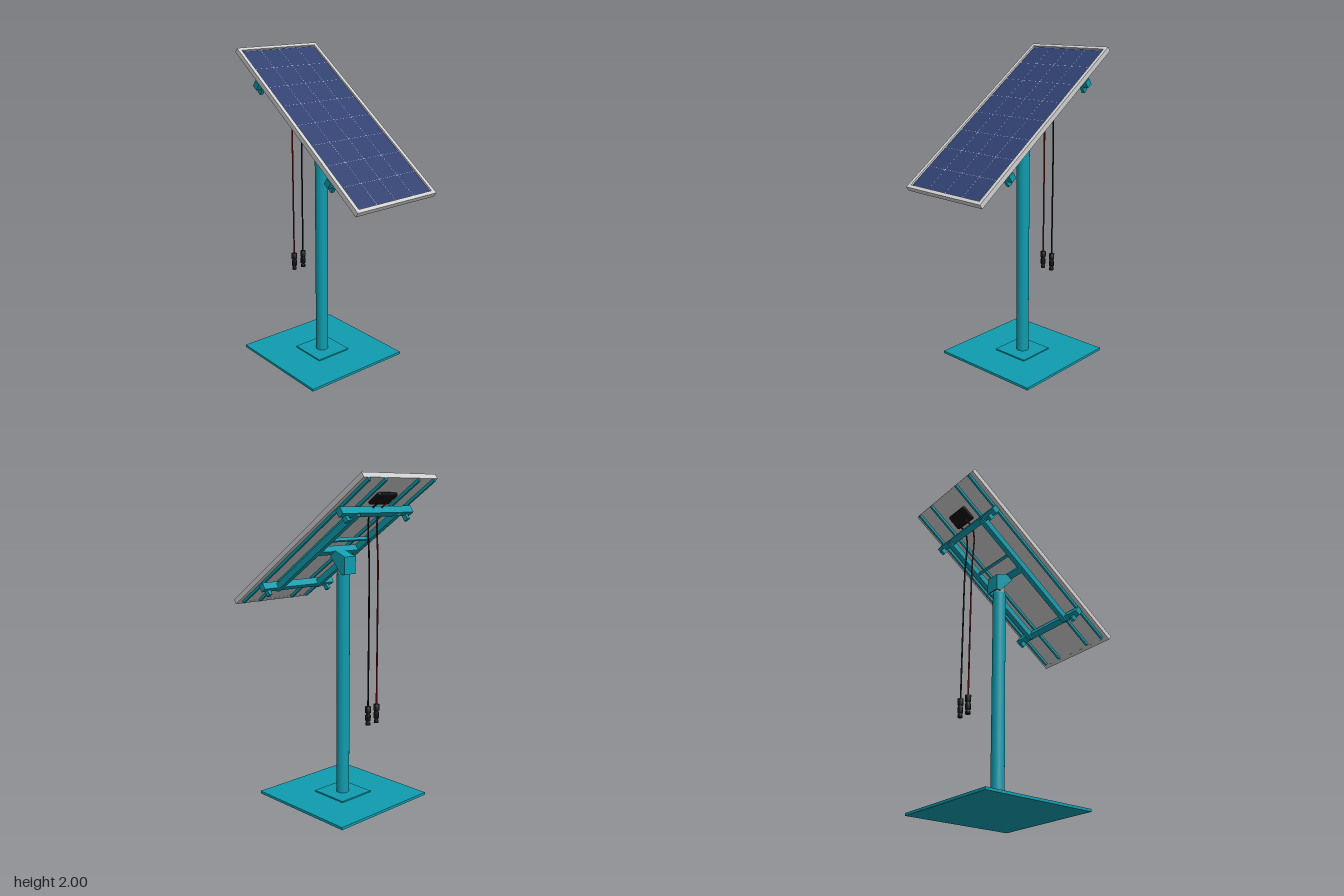
import * as THREE from 'three';
import { RoundedBoxGeometry } from 'three/addons/geometries/RoundedBoxGeometry.js';

const mat = (name, color) => Object.assign(new THREE.MeshStandardMaterial({ color }), { name });

export function createModel() {
  const teal = mat('teal paint', 0x0f9cae);
  const silver = mat('aluminium', 0xd0d0d0);
  const steel = mat('grey steel', 0x9a9a9a);
  const navy = mat('solar cell blue', 0x30406f);
  const black = mat('black plastic', 0x101012);
  const red = mat('red cable', 0x7a1212);

  const model = new THREE.Group();
  model.name = 'solarPanelOnPost';
  const add = (parent, name, geo, m, x = 0, y = 0, z = 0) => {
    const mesh = new THREE.Mesh(geo, m);
    mesh.name = name;
    mesh.position.set(x, y, z);
    parent.add(mesh);
    return mesh;
  };
  const box = (parent, name, m, w, h, d, x, y, z) =>
    add(parent, name, new THREE.BoxGeometry(w, h, d), m, x, y, z);

  // Base plates and post
  const pz = -0.118;
  box(model, 'basePlate', teal, 0.744, 0.016, 0.744, 0, 0.008, pz);
  box(model, 'footPlate', teal, 0.25, 0.008, 0.25, 0, 0.02, pz);
  add(model, 'post', new THREE.CylinderGeometry(0.041, 0.041, 1.39, 32), teal, 0, 0.719, pz);
  add(model, 'postCollar', new THREE.CylinderGeometry(0.038, 0.038, 0.1, 32), steel, 0, 1.46, pz);

  // Tilt bracket: two cheeks, a back plate and a sloping top plate
  const cheek = new THREE.Shape([
    [-0.048, 1.53], [-0.09, 1.556], [-0.175, 1.522], [-0.175, 1.415], [-0.145, 1.415], [-0.062, 1.51],
  ].map(([z, y]) => new THREE.Vector2(z, y)));
  const cheekGeo = new THREE.ExtrudeGeometry(cheek, { depth: 0.008, bevelEnabled: false });
  for (const s of [-1, 1]) {
    add(model, 'bracketCheek', cheekGeo, teal, s * 0.044 + 0.004).rotation.y = -Math.PI / 2;
  }
  box(model, 'bracketBack', teal, 0.08, 0.105, 0.008, 0, 1.4675, -0.171);
  box(model, 'bracketTop', teal, 0.08, 0.008, 0.09, 0, 1.534, -0.132).rotation.x = -0.38;

  // Tilted assembly: local y is the panel normal, local +z runs downhill
  const tilt = new THREE.Group();
  tilt.name = 'tiltedPanel';
  tilt.position.set(0, 1.595, 0);
  tilt.rotation.x = 0.605;
  model.add(tilt);

  // Panel frame with recessed sheet
  const W = 0.307, L = 0.69, T = 0.032, rim = 0.023;
  for (const s of [-1, 1]) {
    box(tilt, 'frameSide', silver, rim, T, 2 * L, s * (W - rim / 2), 0, 0);
    box(tilt, 'frameEnd', silver, 2 * (W - rim), T, rim, 0, 0, s * (L - rim / 2));
  }
  box(tilt, 'backSheet', silver, 2 * (W - rim), 0.02, 2 * (L - rim), 0, -0.005, 0);

  // Cells: 4 by 8 rectangles with clipped corners
  const px = 0.1412, ps = 0.1658;
  const a = px / 2 - 0.0005, b = ps / 2 - 0.0005, c = 0.004;
  const cellGeo = new THREE.ShapeGeometry(new THREE.Shape([
    [a - c, -b], [a, c - b], [a, b - c], [a - c, b], [c - a, b], [-a, b - c], [-a, c - b], [c - a, -b],
  ].map(([x, y]) => new THREE.Vector2(x, y)))).rotateX(-Math.PI / 2);
  const cells = new THREE.Group();
  cells.name = 'solarCells';
  tilt.add(cells);
  for (let i = 0; i < 4; i++) {
    for (let j = 0; j < 8; j++) {
      add(cells, 'solarCell', cellGeo, navy, (i - 1.5) * px, 0.0065, (j - 3.5) * ps);
    }
  }

  // Rails under the panel
  for (const x of [-0.27, -0.137, 0.137, 0.27]) {
    box(tilt, 'panelRail', teal, 0.014, 0.018, 1.342, x, -0.025, -0.017);
  }

  // Support frame: cross beams with end clamps, long beams and ties
  for (const z of [-0.425, 0.405]) {
    box(tilt, 'crossBeam', teal, 0.59, 0.045, 0.04, 0, -0.0565, z);
    for (const s of [-1, 1]) {
      box(tilt, 'beamClamp', teal, 0.022, 0.082, 0.03, s * 0.25, -0.071, z + 0.014);
    }
  }
  for (const s of [-1, 1]) {
    box(tilt, 'longBeam', teal, 0.035, 0.04, 0.85, s * 0.17, -0.07, -0.01);
  }
  box(tilt, 'tieBar', teal, 0.34, 0.02, 0.016, 0, -0.07, -0.15);
  box(tilt, 'pivotBeam', teal, 0.34, 0.04, 0.04, 0, -0.07, -0.03);

  // Junction box
  add(tilt, 'junctionBox', new RoundedBoxGeometry(0.16, 0.026, 0.1, 3, 0.012), black, 0, -0.027, -0.51);

  // Hanging cables with plugs
  for (const s of [-1, 1]) {
    const x = s * 0.037;
    const path = new THREE.CatmullRomCurve3([
      [-0.425, 1.835], [-0.372, 1.795], [-0.356, 1.73], [-0.366, 1.5], [-0.368, 1.1], [-0.368, 0.62],
    ].map(([z, y]) => new THREE.Vector3(x, y, z)));
    add(model, 'cable', new THREE.TubeGeometry(path, 40, 0.005, 8), s > 0 ? black : red);
    const plug = [[0, 0.526], [0.015, 0.526], [0.015, 0.542], [0.011, 0.545], [0.011, 0.552], [0.017, 0.555],
      [0.017, 0.588], [0.013, 0.592], [0.013, 0.6], [0.018, 0.603], [0.018, 0.64], [0, 0.643]];
    add(model, 'cablePlug', new THREE.LatheGeometry(plug.map(p => new THREE.Vector2(...p)), 16), black, x, 0, -0.368);
  }
  return model;
}
